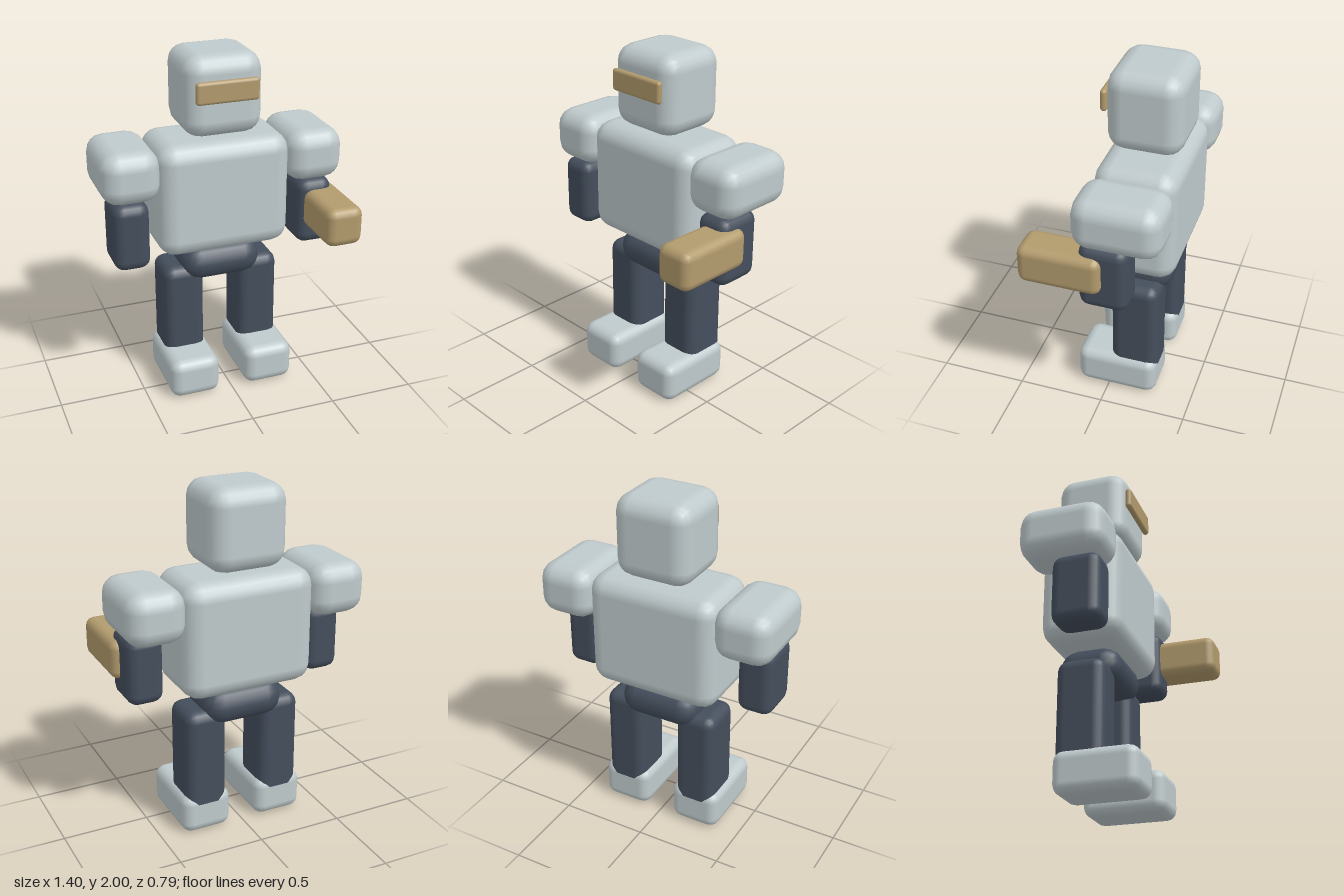
import * as THREE from 'three';
import { RoundedBoxGeometry } from 'three/addons/geometries/RoundedBoxGeometry.js';

export function createModel() {
  const model = new THREE.Group();
  model.name = 'robot';

  const material = (name, color) => {
    const m = new THREE.MeshStandardMaterial({ color });
    m.name = name;
    return m;
  };
  const armour = material('pale armour', 0xbfcacc);
  const joint = material('dark joint', 0x444e5c);
  const brass = material('brass', 0xb29b6d);

  // Rounded block given by its [min, max] range on each axis
  const block = (name, mat, [x0, x1], [y0, y1], [z0, z1], radius) => {
    const geometry = new RoundedBoxGeometry(x1 - x0, y1 - y0, z1 - z0, 2, radius);
    const mesh = new THREE.Mesh(geometry, mat);
    mesh.name = name;
    mesh.position.set((x0 + x1) / 2, (y0 + y1) / 2, (z0 + z1) / 2);
    model.add(mesh);
  };

  // Same block on both sides of the body
  const pair = (name, mat, [x0, x1], y, z, radius) => {
    block('left' + name, mat, [x0, x1], y, z, radius);
    block('right' + name, mat, [-x1, -x0], y, z, radius);
  };

  // Head and body
  block('head', armour, [-0.225, 0.225], [1.54, 2], [-0.36, 0.06], 0.1);
  block('visor', brass, [-0.18, 0.18], [1.75, 1.875], [0.055, 0.092], 0.018);
  block('torso', armour, [-0.385, 0.385], [0.86, 1.52], [-0.38, 0.083], 0.1);
  block('pelvis', joint, [-0.238, 0.238], [0.655, 0.87], [-0.325, 0.03], 0.105);

  // Arms
  pair('Shoulder', armour, [0.37, 0.702], [1.22, 1.52], [-0.393, 0.098], 0.1);
  pair('Forearm', joint, [0.44, 0.648], [0.825, 1.22], [-0.205, 0.07], 0.06);
  block('armCannon', brass, [0.473, 0.69], [0.94, 1.165], [-0.07, 0.395], 0.05);

  // Legs
  pair('Leg', joint, [0.107, 0.347], [0.12, 0.75], [-0.284, -0.01], 0.06);
  pair('Foot', armour, [0.08, 0.375], [0, 0.238], [-0.285, 0.188], 0.06);

  return model;
}
